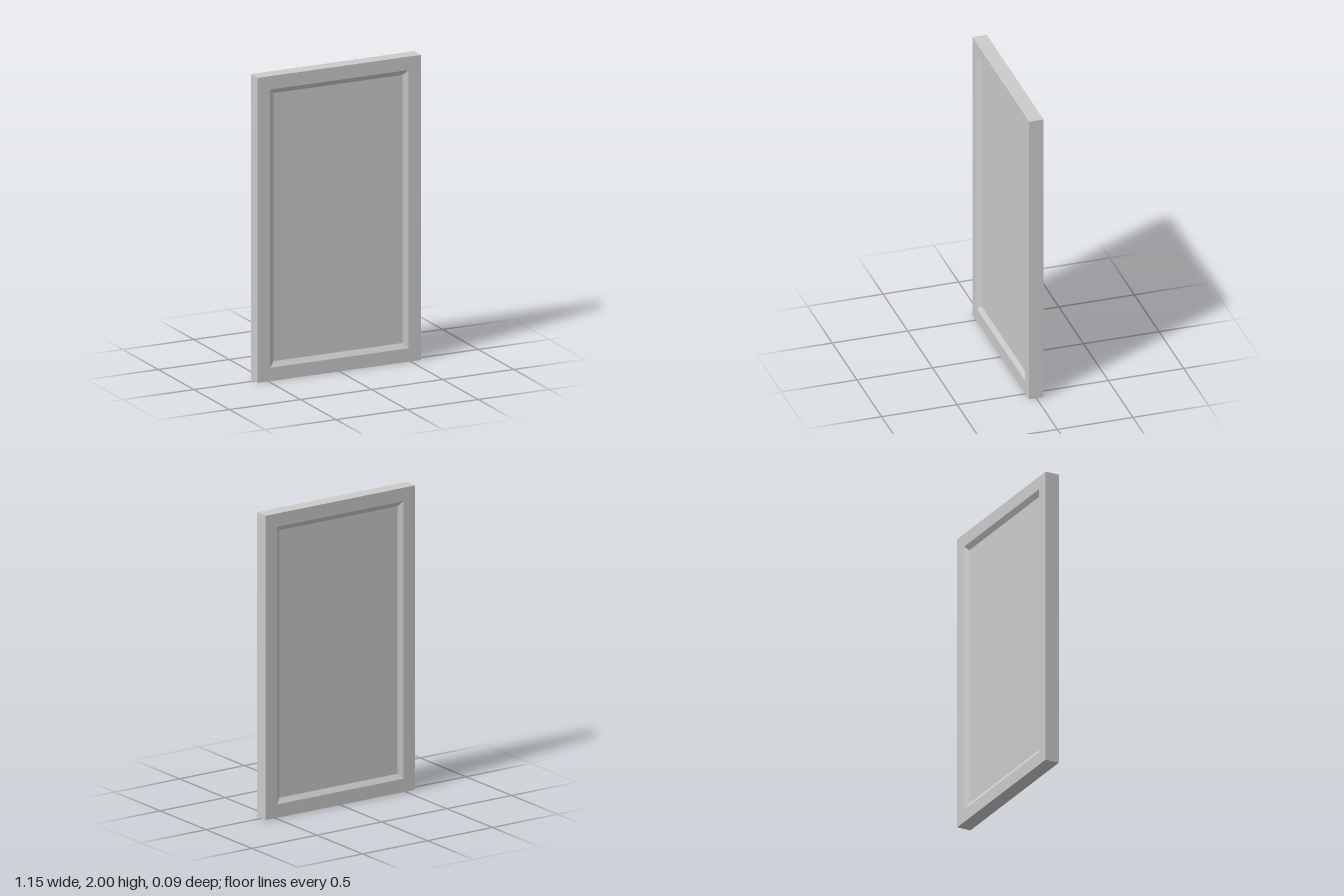
import * as THREE from 'three';

const WIDTH = 1.15, HEIGHT = 2, HALF_DEPTH = 0.0475;
const FRAME = 0.088;   // width of the flat border
const BEVEL = 0.033;   // width of the sloped edge
const RECESS = 0.021;  // depth of the sunken panel

// Rectangle corners, counter-clockwise seen from the front
function ring(inset, z) {
  const x = WIDTH / 2 - inset, y0 = inset, y1 = HEIGHT - inset;
  return [[-x, y0, z], [x, y0, z], [x, y1, z], [-x, y1, z]];
}

// Flat-sided surface through a list of rectangular rings
function loft(rings) {
  const pos = [];
  const quad = (a, b, c, d) => pos.push(...a, ...b, ...c, ...a, ...c, ...d);
  for (let r = 0; r < rings.length - 1; r++) {
    const p = rings[r], q = rings[r + 1];
    for (let i = 0; i < 4; i++) {
      const j = (i + 1) % 4;
      quad(p[i], q[i], q[j], p[j]);
    }
  }
  const geometry = new THREE.BufferGeometry();
  geometry.setAttribute('position', new THREE.Float32BufferAttribute(pos, 3));
  geometry.computeVertexNormals();
  return geometry;
}

export function createModel() {
  const group = new THREE.Group();
  group.name = 'panelDoor';
  const material = new THREE.MeshStandardMaterial({ color: 0xcccccc, flatShading: true });
  const inner = FRAME + BEVEL, panelZ = HALF_DEPTH - RECESS;

  // Frame: front bevel, front border, outer sides, back border, back bevel
  const frame = new THREE.Mesh(loft([
    ring(inner, panelZ),
    ring(FRAME, HALF_DEPTH),
    ring(0, HALF_DEPTH),
    ring(0, -HALF_DEPTH),
    ring(FRAME, -HALF_DEPTH),
    ring(inner, -panelZ),
  ]), material);
  frame.name = 'frame';
  group.add(frame);

  // Sunken panel faces on both sides
  for (const side of [1, -1]) {
    const panel = new THREE.Mesh(
      new THREE.PlaneGeometry(WIDTH - 2 * inner, HEIGHT - 2 * inner), material);
    panel.position.set(0, HEIGHT / 2, side * panelZ);
    panel.rotation.y = side > 0 ? 0 : Math.PI;
    panel.name = side > 0 ? 'frontPanel' : 'backPanel';
    group.add(panel);
  }
  return group;
}
